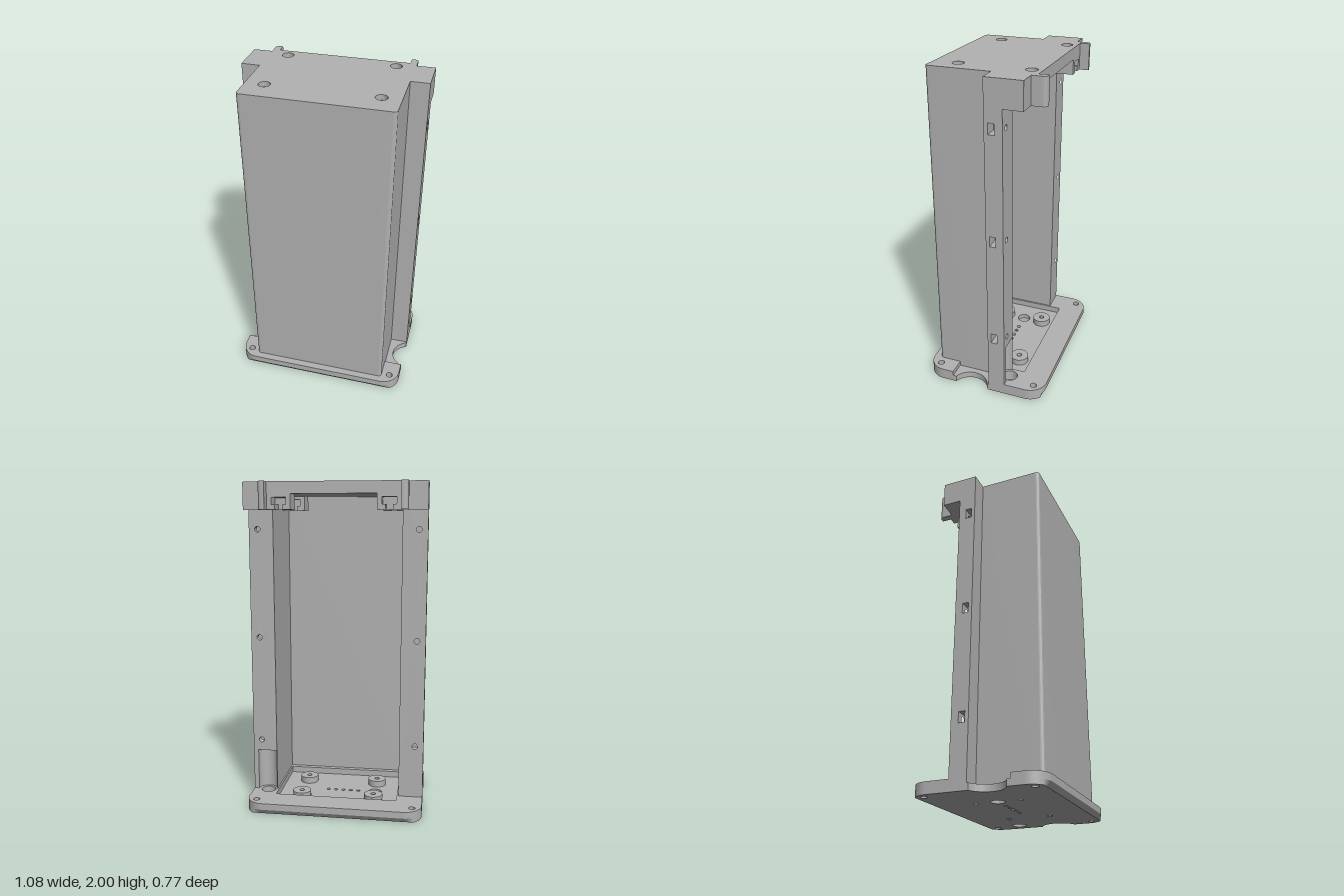
import * as THREE from 'three';
import { toCreasedNormals } from 'three/addons/utils/BufferGeometryUtils.js';

const grey = new THREE.MeshStandardMaterial({ color: 0xb2b2b2 });
grey.name = 'plain grey';

const poly = (pts) => new THREE.Shape(pts.map(([x, y]) => new THREE.Vector2(x, y)));
const rect = (x0, y0, x1, y1) => poly([[x0, y0], [x1, y0], [x1, y1], [x0, y1]]);
const hole = (x, y, r) => new THREE.Path().absarc(x, y, r, 0, Math.PI * 2, true);

function extrude(shape, depth) {
  return new THREE.ExtrudeGeometry(shape, { depth, bevelEnabled: false, curveSegments: 14 });
}
function add(group, name, geometry) {
  const mesh = new THREE.Mesh(toCreasedNormals(geometry, 0.6), grey);
  mesh.name = name;
  group.add(mesh);
}
// Plan outline (x, z) raised from y0 to y1
function plan(shape, y0, y1) {
  return extrude(shape, y1 - y0).rotateX(Math.PI / 2).translate(0, y1, 0);
}
// Elevation outline (x, y) run from z0 to z1
function elevation(shape, z0, z1) {
  return extrude(shape, z1 - z0).translate(0, 0, z0);
}

// Rounded base outline; side cut-outs are round notches or square recesses
function baseOutline(square) {
  const X = 0.54, Z = 0.386, R = 0.11, s = new THREE.Shape();
  const cx = 0.579, cz = 0.077, r = 0.114, a = Math.acos((cx - X) / r), h = r * Math.sin(a);
  s.moveTo(-X + R, -Z).lineTo(X - R, -Z);
  s.absarc(X - R, -Z + R, R, -Math.PI / 2, 0, false);
  if (square) {
    s.lineTo(X, -0.04).lineTo(0.43, -0.04).lineTo(0.43, 0.205).lineTo(X, 0.205);
  } else {
    s.lineTo(X, cz - h).absarc(cx, cz, r, Math.PI + a, Math.PI - a, true);
  }
  s.lineTo(X, Z - R).absarc(X - R, Z - R, R, 0, Math.PI / 2, false);
  s.lineTo(-X + R, Z).absarc(-X + R, Z - R, R, Math.PI / 2, Math.PI, false);
  if (square) {
    s.lineTo(-X, 0.205).lineTo(-0.43, 0.205).lineTo(-0.43, -0.04).lineTo(-X, -0.04);
  } else {
    s.lineTo(-X, cz + h).absarc(-cx, cz, r, a, -a, true);
  }
  s.lineTo(-X, -Z + R).absarc(-X + R, -Z + R, R, Math.PI, Math.PI * 1.5, false);
  for (const x of [-0.482, 0.482]) for (const z of [-0.317, 0.315]) s.holes.push(hole(x, z, 0.02));
  s.holes.push(hole(0.445, -0.15, 0.045));
  return s;
}

function buildBase(g) {
  // Floor layer with cable and screw holes, chamfered along front and back
  const floor = baseOutline(false);
  for (const x of [-0.23, 0.23]) for (const z of [-0.132, 0.132]) floor.holes.push(hole(x, z, 0.016));
  for (let i = 0; i < 5; i++) floor.holes.push(hole(-0.118 + i * 0.049, 0, 0.012));
  floor.holes.push(hole(-0.23, 0, 0.042));
  const geo = plan(floor, 0, 0.03), p = geo.attributes.position;
  for (let i = 0; i < p.count; i++) {
    if (p.getY(i) < 0.001) p.setZ(i, THREE.MathUtils.clamp(p.getZ(i), -0.366, 0.366));
  }
  add(g, 'baseFloor', geo);
  // Rim layers around the sunken pocket
  [[false, 0.03, 0.04], [true, 0.04, 0.07]].forEach(([square, y0, y1]) => {
    const s = baseOutline(square);
    s.holes.push(rect(-0.38, -0.22, 0.38, 0.27));
    add(g, 'baseRim', plan(s, y0, y1));
  });
  // Standoffs
  for (const x of [-0.23, 0.23]) for (const z of [-0.132, 0.132]) {
    const s = new THREE.Shape().absarc(x, z, 0.058, 0, Math.PI * 2, false);
    s.holes.push(hole(x, z, 0.016));
    add(g, 'standoff', plan(s, 0.03, 0.07));
  }
}

// Plan of the shell: front wall plus two side walls
function buildShell(g) {
  const X = 0.43, Z = 0.343, R = 0.02, s = new THREE.Shape();
  s.moveTo(X, -0.04).lineTo(X, Z - R).absarc(X - R, Z - R, R, 0, Math.PI / 2, false);
  s.lineTo(-X + R, Z).absarc(-X + R, Z - R, R, Math.PI / 2, Math.PI, false);
  s.lineTo(-X, -0.04).lineTo(-0.39, -0.04).lineTo(-0.39, 0.303).lineTo(0.39, 0.303).lineTo(0.39, -0.04);
  add(g, 'shellWalls', plan(s, 0.07, 1.93));
}

// Mounting pillar with side nut slots and screw holes at the back
function buildPillar(g, side) {
  const bottom = side > 0 ? 0.33 : 0.07, ys = [0.4, 1.063, 1.727];
  const x0 = side * 0.39, x1 = side * 0.54, xs = side * 0.455;
  const back = rect(x0, bottom, x1, 1.93);
  for (const y of ys) back.holes.push(hole(side * 0.487, y, 0.017));
  add(g, 'pillarBack', elevation(back, -0.145, -0.1));
  const pts = [[x0, bottom], [x1, bottom]];
  for (const y of ys) pts.push([x1, y - 0.032], [xs, y - 0.032], [xs, y + 0.032], [x1, y + 0.032]);
  pts.push([x1, 1.93], [x0, 1.93]);
  add(g, 'pillarSlots', elevation(poly(pts), -0.1, -0.062));
  add(g, 'pillarFront', elevation(rect(x0, bottom, x1, 1.93), -0.062, -0.04));
  if (side > 0) {
    // Foot scooped out by a round cable channel
    const s = new THREE.Shape(), r = 0.06, a = Math.asin((0.45 - 0.39) / r);
    s.moveTo(0.54, -0.145).lineTo(0.54, -0.04).lineTo(0.39, -0.04).lineTo(0.39, -0.145);
    s.absarc(0.45, -0.145, r, Math.PI / 2 + a, 0, true);
    add(g, 'pillarFoot', plan(s, 0.07, 0.33));
  }
}

const screwSpots = [[-0.32, -0.226], [0.32, -0.226], [-0.32, 0.195], [0.32, 0.195]];

function buildTop(g) {
  // Lid in two layers so that the screw holes are counterbored
  [[0.02, 1.93, 1.97], [0.034, 1.97, 2]].forEach(([r, y0, y1]) => {
    const X = 0.43, Z = 0.343, R = 0.02, s = new THREE.Shape();
    s.moveTo(X, -0.04).lineTo(X, Z - R).absarc(X - R, Z - R, R, 0, Math.PI / 2, false);
    s.lineTo(-X + R, Z).absarc(-X + R, Z - R, R, Math.PI / 2, Math.PI, false);
    s.lineTo(-X, -0.04).lineTo(-0.54, -0.04).lineTo(-0.54, -0.145).lineTo(-0.39, -0.145);
    s.lineTo(-0.39, -0.288).lineTo(0.39, -0.288).lineTo(0.39, -0.145);
    s.lineTo(0.54, -0.145).lineTo(0.54, -0.04);
    for (const [x, z] of screwSpots) s.holes.push(hole(x, z, r));
    add(g, 'lid', plan(s, y0, y1));
  });
  // Rear ears with a thin rounded lug
  for (const k of [-1, 1]) {
    const s = new THREE.Shape();
    s.moveTo(k * 0.39, -0.145).lineTo(k * 0.54, -0.145).lineTo(k * 0.54, -0.26).lineTo(k * 0.43, -0.26);
    s.lineTo(k * 0.43, -0.32).quadraticCurveTo(k * 0.43, -0.346, k * 0.405, -0.346);
    s.lineTo(k * 0.39, -0.346);
    add(g, 'rearEar', plan(s, 1.84, 2));
  }
  // Nut holders under the lid, slotted towards the back
  for (const [x, z] of screwSpots) {
    [[0.022, 1.84, 1.87], [0.042, 1.87, 1.91]].forEach(([w, y0, y1]) => {
      const a = 0.07, b = 0.062;
      add(g, 'nutHolder', plan(poly([
        [x - a, z - b], [x - w, z - b], [x - w, z + 0.03], [x + w, z + 0.03],
        [x + w, z - b], [x + a, z - b], [x + a, z + b], [x - a, z + b]]), y0, y1));
    });
    const s = rect(x - 0.07, z - 0.062, x + 0.07, z + 0.062);
    s.holes.push(hole(x, z, 0.02));
    add(g, 'nutHolderRoof', plan(s, 1.91, 1.93));
  }
}

export function createModel() {
  const g = new THREE.Group();
  g.name = 'enclosure';
  buildBase(g);
  buildShell(g);
  buildPillar(g, 1);
  buildPillar(g, -1);
  buildTop(g);
  return g;
}
